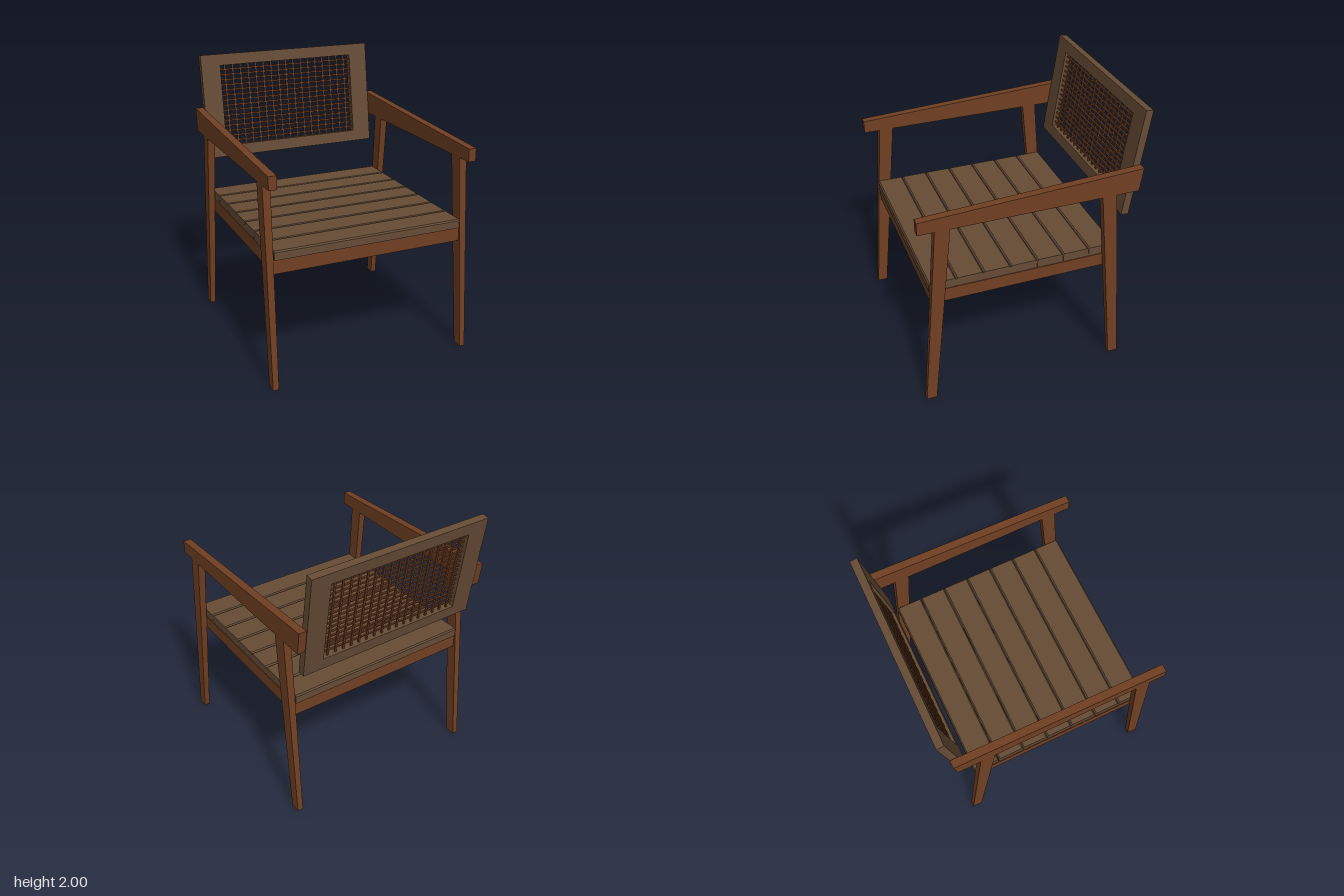
import * as THREE from 'three';

const frameWood = new THREE.MeshStandardMaterial({ color: 0x703f22 });
frameWood.name = 'red brown wood';
const panelWood = new THREE.MeshStandardMaterial({ color: 0x654b35 });
panelWood.name = 'grey brown wood';

function add(parent, name, geometry, material) {
  const mesh = new THREE.Mesh(geometry, material);
  mesh.name = name;
  parent.add(mesh);
  return mesh;
}

// Side outline of [z, y] points, extruded across x from x0 to x1
function sideProfile(points, x0, x1) {
  const shape = new THREE.Shape(points.map(([z, y]) => new THREE.Vector2(z, y)));
  const geo = new THREE.ExtrudeGeometry(shape, { depth: x1 - x0, bevelEnabled: false });
  geo.rotateY(-Math.PI / 2);
  geo.translate(x1, 0, 0);
  return geo;
}

// Upright whose [centre x, centre z, width, depth] changes from foot to top
function taperedPost(foot, top, height) {
  const geo = new THREE.BoxGeometry(1, 1, 1);
  const p = geo.attributes.position;
  for (let i = 0; i < p.count; i++) {
    const upper = p.getY(i) > 0;
    const [cx, cz, w, d] = upper ? top : foot;
    p.setXYZ(i, cx + p.getX(i) * w, upper ? height : 0, cz + p.getZ(i) * d);
  }
  geo.computeVertexNormals();
  return geo;
}

export function createModel() {
  const chair = new THREE.Group();
  chair.name = 'armchair';

  // Legs and armrests on both sides
  const armOutline = [[0.825, 1.43], [0.825, 1.523], [-0.763, 1.597], [-0.738, 1.427]];
  for (const [side, label] of [[1, 'left'], [-1, 'right']]) {
    add(chair, `${label}FrontLeg`, taperedPost(
      [side * 0.736, 0.788, 0.042, 0.075], [side * 0.7295, 0.658, 0.055, 0.105], 1.432), frameWood);
    add(chair, `${label}BackLeg`, taperedPost(
      [side * 0.736, -0.652, 0.042, 0.075], [side * 0.7295, -0.52, 0.055, 0.105], 1.432), frameWood);
    const [x0, x1] = side > 0 ? [0.7, 0.757] : [-0.757, -0.7];
    add(chair, `${label}Armrest`, sideProfile(armOutline, x0, x1), frameWood);
  }

  // Seat base
  const base = add(chair, 'seatBase', new THREE.BoxGeometry(1.41, 0.1, 1.35), frameWood);
  base.position.set(0, 0.87, 0.07);

  // Seven seat slats with chamfered upper edges
  const seat = new THREE.Group();
  seat.name = 'seatSlats';
  chair.add(seat);
  const pitch = 1.37 / 7;
  for (let i = 0; i < 7; i++) {
    const z0 = -0.615 + i * pitch, z1 = z0 + pitch;
    add(seat, `slat${i + 1}`, sideProfile([
      [z0 + 0.001, 0.92], [z1 - 0.001, 0.92], [z1 - 0.001, 0.975],
      [z1 - 0.01, 0.985], [z0 + 0.01, 0.985], [z0 + 0.001, 0.975],
    ], -0.7, 0.7), panelWood);
  }

  // Tilted backrest: frame with an opening
  const back = new THREE.Group();
  back.name = 'backrest';
  back.position.set(0, 1.603, -0.7375);
  back.rotation.x = -0.148;
  chair.add(back);
  const rect = (path, w, h) => {
    path.moveTo(-w, -h);
    path.lineTo(w, -h);
    path.lineTo(w, h);
    path.lineTo(-w, h);
    path.closePath();
    return path;
  };
  const outline = rect(new THREE.Shape(), 0.697, 0.396);
  outline.holes.push(rect(new THREE.Path(), 0.548, 0.31));
  const frame = new THREE.ExtrudeGeometry(outline, { depth: 0.055, bevelEnabled: false });
  frame.translate(0, 0, -0.0275);
  add(back, 'backFrame', frame, panelWood);

  // Lattice filling the opening
  const lattice = new THREE.Group();
  lattice.name = 'lattice';
  back.add(lattice);
  const upright = new THREE.BoxGeometry(0.013, 0.63, 0.011);
  const crossbar = new THREE.BoxGeometry(1.11, 0.011, 0.011);
  for (let i = -8; i <= 8; i++) {
    add(lattice, 'latticeUpright', upright, frameWood).position.set(i * 0.063, 0, -0.004);
  }
  for (let i = -7; i <= 7; i++) {
    add(lattice, 'latticeCrossbar', crossbar, frameWood).position.set(0, i * 0.0395, 0.004);
  }
  return chair;
}
